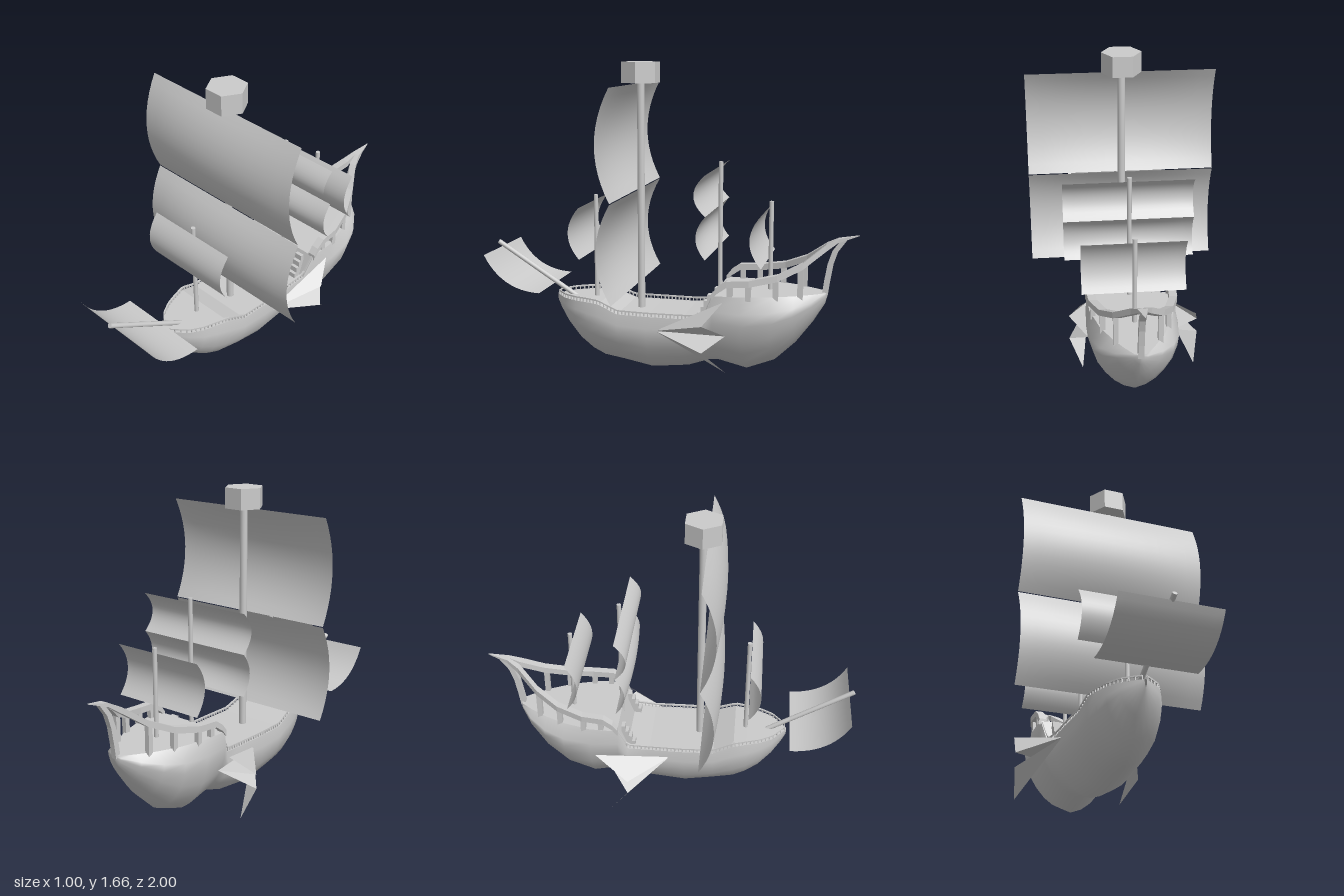
import * as THREE from 'three';

const smooth = new THREE.MeshStandardMaterial({ color: 0xcccccc, side: THREE.DoubleSide });
const flat = new THREE.MeshStandardMaterial({ color: 0xcccccc, side: THREE.DoubleSide, flatShading: true });

// Hull stations: z, keel height, sheer height, greatest half width, half width at deck
const STATIONS = [
  [0.645, 0.35, 0.388, 0.006, 0.006], [0.62, 0.3, 0.388, 0.04, 0.04], [0.57, 0.225, 0.388, 0.1, 0.1],
  [0.5, 0.14, 0.388, 0.143, 0.14], [0.43, 0.085, 0.388, 0.168, 0.162], [0.36, 0.052, 0.385, 0.188, 0.182],
  [0.25, 0.037, 0.34, 0.198, 0.193], [0.09, 0.006, 0.338, 0.203, 0.198], [-0.1, 0.028, 0.338, 0.2, 0.195],
  [-0.22, 0.07, 0.345, 0.208, 0.2], [-0.27, 0.072, 0.48, 0.232, 0.225], [-0.42, 0.036, 0.48, 0.238, 0.22],
  [-0.57, 0.095, 0.48, 0.223, 0.18], [-0.68, 0.2, 0.48, 0.183, 0.13], [-0.77, 0.32, 0.48, 0.115, 0.075],
  [-0.83, 0.42, 0.48, 0.035, 0.03], [-0.84, 0.46, 0.48, 0.006, 0.006],
];
// Section shape: height fraction, width fraction
const SECTION = [[0, 0], [0.05, 0.25], [0.14, 0.47], [0.28, 0.68], [0.45, 0.86], [0.65, 0.97], [0.8, 1]];

// Surface through rows of points; a closed loft is a tube with capped ends
function loft(rows, closed = false) {
  const n = rows[0].length, m = rows.length, index = [];
  for (let i = 0; i < m - 1; i++) {
    for (let j = 0; j < (closed ? n : n - 1); j++) {
      const k = (j + 1) % n, a = i * n + j, b = i * n + k;
      index.push(a, a + n, b, b, a + n, b + n);
    }
  }
  if (closed) {
    for (let j = 1; j < n - 1; j++) {
      const e = (m - 1) * n;
      index.push(0, j, j + 1, e, e + j + 1, e + j);
    }
  }
  const g = new THREE.BufferGeometry();
  g.setAttribute('position', new THREE.Float32BufferAttribute(rows.flat(2), 3));
  g.setIndex(index);
  g.computeVertexNormals();
  return g;
}

// Rectangular bar along points [x, y, z, optional size factor]
function bar(points, w, h, alongZ = false) {
  return loft(points.map(([x, y, z, s = 1]) =>
    [[-1, -1], [1, -1], [1, 1], [-1, 1]].map(([a, b]) => alongZ
      ? [x + a * w * s / 2, y, z + b * h * s / 2]
      : [x + a * w * s / 2, y + b * h * s / 2, z])), true);
}

function stationAt(z) {
  const i = Math.max(1, STATIONS.findIndex((s) => s[0] <= z));
  const a = STATIONS[i - 1], b = STATIONS[i], t = (a[0] - z) / (a[0] - b[0]);
  return a.map((v, k) => v + (b[k] - v) * t);
}

export function createModel() {
  const ship = new THREE.Group();
  ship.name = 'sailingShip';
  const add = (name, geometry, material = flat, parent = ship) => {
    const mesh = new THREE.Mesh(geometry, material);
    mesh.name = name;
    parent.add(mesh);
    return mesh;
  };

  // Hull and decks
  add('hull', loft(STATIONS.map(([z, keel, top, w, wTop]) => {
    const half = SECTION.map(([t, f]) => [f * w, keel + t * (top - keel), z]);
    half.push([wTop, top, z]);
    return [...half.slice(1).reverse(), ...half.map(([x, y, q]) => [-x, y, q])];
  })), smooth);
  add('deck', loft(STATIONS.map(([z, , top, , w]) => [[-w, top, z], [w, top, z]])));

  // Masts and bowsprit
  const spar = (name, from, to, r) => {
    const a = new THREE.Vector3(...from), b = new THREE.Vector3(...to);
    const mesh = add(name, new THREE.CylinderGeometry(r, r, a.distanceTo(b), 12), smooth);
    mesh.position.copy(a).lerp(b, 0.5);
    mesh.quaternion.setFromUnitVectors(new THREE.Vector3(0, 1, 0), b.sub(a).normalize());
  };
  spar('mainMast', [0, 0.3, 0.165], [0, 1.56, 0.165], 0.02);
  spar('foreMast', [0, 0.36, 0.42], [0, 0.95, 0.42], 0.012);
  spar('mizzenMast', [0, 0.34, -0.27], [0, 1.15, -0.27], 0.012);
  spar('aftMast', [0, 0.46, -0.54], [0, 0.95, -0.54], 0.012);
  spar('bowsprit', [0, 0.37, 0.525], [0, 0.665, 0.993], 0.013);

  // Six-sided lookout
  const nest = add('lookout', new THREE.CylinderGeometry(0.105, 0.105, 0.11, 6));
  nest.rotation.y = Math.PI / 6;
  nest.geometry.rotateY(Math.PI / 3);
  nest.position.set(0, 1.61, 0.165);

  // Sails: bellied sheets between a top and a bottom edge [y, z]
  const sail = (name, w, [y0, z0], [y1, z1], belly, edge = 1) => {
    const len = Math.hypot(y1 - y0, z1 - z0);
    const ny = (z0 - z1) / len * -1, nz = (y0 - y1) / len;
    const rows = [];
    for (let i = 0; i <= 12; i++) {
      const t = i / 12, row = [];
      for (let j = 0; j <= 12; j++) {
        const u = j / 6 - 1;
        const d = belly * (1 - (2 * t - 1) ** 2) * (1 - (1 - edge) * u * u);
        row.push([u * w, y0 + (y1 - y0) * t + ny * d, z0 + (z1 - z0) * t + nz * d]);
      }
      rows.push(row);
    }
    add(name, loft(rows), smooth);
  };
  sail('mainTopsail', 0.502, [1.55, 0.188], [0.985, 0.19], 0.1, 0.75);
  sail('mainCourse', 0.502, [0.98, 0.19], [0.468, 0.188], 0.1, 0.75);
  sail('foreSail', 0.262, [0.917, 0.433], [0.642, 0.433], 0.06);
  sail('mizzenTopsail', 0.335, [1.12, -0.255], [0.91, -0.255], 0.06);
  sail('mizzenCourse', 0.335, [0.91, -0.255], [0.69, -0.255], 0.065, 0.75);
  sail('aftSail', 0.262, [0.917, -0.527], [0.642, -0.527], 0.06);
  sail('spritSail', 0.262, [0.64, 0.97], [0.448, 0.66], 0.055);

  // Side railings with balusters
  for (const side of [1, -1]) {
    const rail = new THREE.Group();
    rail.name = side > 0 ? 'leftRailing' : 'rightRailing';
    ship.add(rail);
    const path = [];
    for (let i = 0; i <= 42; i++) {
      const z = 0.635 - i * 0.0205, s = stationAt(z);
      const x = side * Math.max(0, s[4] - 0.006);
      path.push([x, s[2] + 0.02, z]);
      add('baluster', new THREE.BoxGeometry(0.006, 0.024, 0.006), flat, rail).position.set(x, s[2] + 0.008, z);
    }
    path.push([side * 0.215, 0.48, -0.27]);
    add('handrail', bar(path, 0.01, 0.008), flat, rail);

    // Stairs up to the stern deck
    for (let i = 0; i < 4; i++) {
      const h = 0.033 * (i + 1);
      add('stair', new THREE.BoxGeometry(0.045, h, 0.02)).position.set(side * 0.145, 0.338 + h / 2, -0.19 - i * 0.018);
    }

    // Sweeping stern rail and its posts
    add('sternRail', bar([
      [0.213, 0.475, -0.268], [0.213, 0.51, -0.295], [0.212, 0.545, -0.345], [0.205, 0.552, -0.46],
      [0.165, 0.58, -0.6], [0.105, 0.635, -0.72], [0.03, 0.72, -0.83], [0.012, 0.758, -0.89, 0.6],
      [0, 0.788, -0.998, 0.1]].map(([x, ...p]) => [side * x, ...p]), 0.042, 0.034));
    for (const [x, z, top] of [[0.208, -0.36, 0.545], [0.205, -0.455, 0.55], [0.165, -0.59, 0.578], [0.11, -0.71, 0.63]]) {
      add('sternPost', new THREE.BoxGeometry(0.026, top - 0.46, 0.028)).position.set(side * x, (top + 0.46) / 2, z);
    }
  }

  // Curved post carrying the stern tip
  add('sternTipPost', bar([[0, 0.46, -0.826], [0, 0.54, -0.837], [0, 0.63, -0.852], [0, 0.7, -0.875], [0, 0.77, -0.925]], 0.03, 0.03, true));

  // Pleated side fins fanning from a hub: hub, then alternating tips and notches
  const fin = (name, hub, rim) => {
    const tris = [];
    for (let i = 0; i < rim.length - 1; i++) tris.push(hub, rim[i], rim[i + 1]);
    const g = new THREE.BufferGeometry();
    g.setAttribute('position', new THREE.Float32BufferAttribute(tris.flat(), 3));
    g.computeVertexNormals();
    add(name, g);
  };
  fin('leftFin', [0.195, 0.265, 0.04],
    [[0.265, 0.46, -0.335], [0.32, 0.34, -0.235], [0.225, 0.27, -0.34], [0.32, 0.2, -0.235], [0.255, 0.085, -0.35]]);
  fin('rightFin', [-0.195, 0.295, 0.01],
    [[-0.34, 0.405, -0.375], [-0.378, 0.26, -0.2], [-0.23, 0.285, -0.33], [-0.38, 0.18, -0.2], [-0.35, 0.038, -0.295]]);

  return ship;
}
